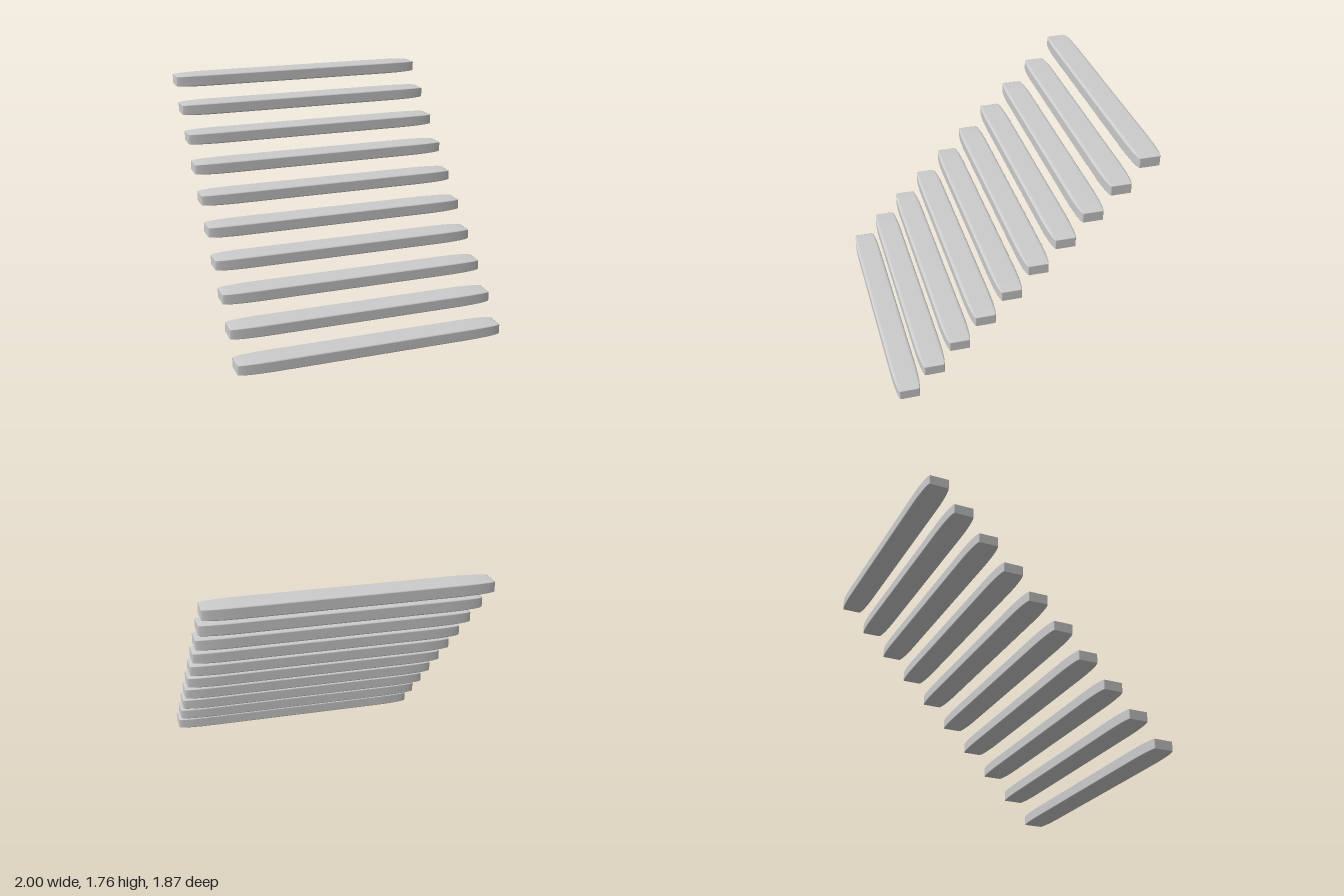
import * as THREE from 'three';
import { RoundedBoxGeometry } from 'three/addons/geometries/RoundedBoxGeometry.js';

const STEPS = 10;
const WIDTH = 2, HEIGHT = 0.094, DEPTH = 0.187;
const RISE = 0.1855, RUN = 0.187;

export function createModel() {
  const group = new THREE.Group();
  group.name = 'floatingStaircase';
  const material = new THREE.MeshStandardMaterial({ color: 0xcccccc });

  // Rounded unit cube stretched into a tread, so the rounding is long along x
  const tread = new RoundedBoxGeometry(1, 1, 1, 5, 0.14);
  tread.scale(WIDTH, HEIGHT, DEPTH);

  // Treads climb from the front to the back
  for (let i = 0; i < STEPS; i++) {
    const step = new THREE.Mesh(tread, material);
    step.name = `step${i + 1}`;
    step.position.set(0, HEIGHT / 2 + i * RISE, ((STEPS - 1) / 2 - i) * RUN);
    group.add(step);
  }
  return group;
}
